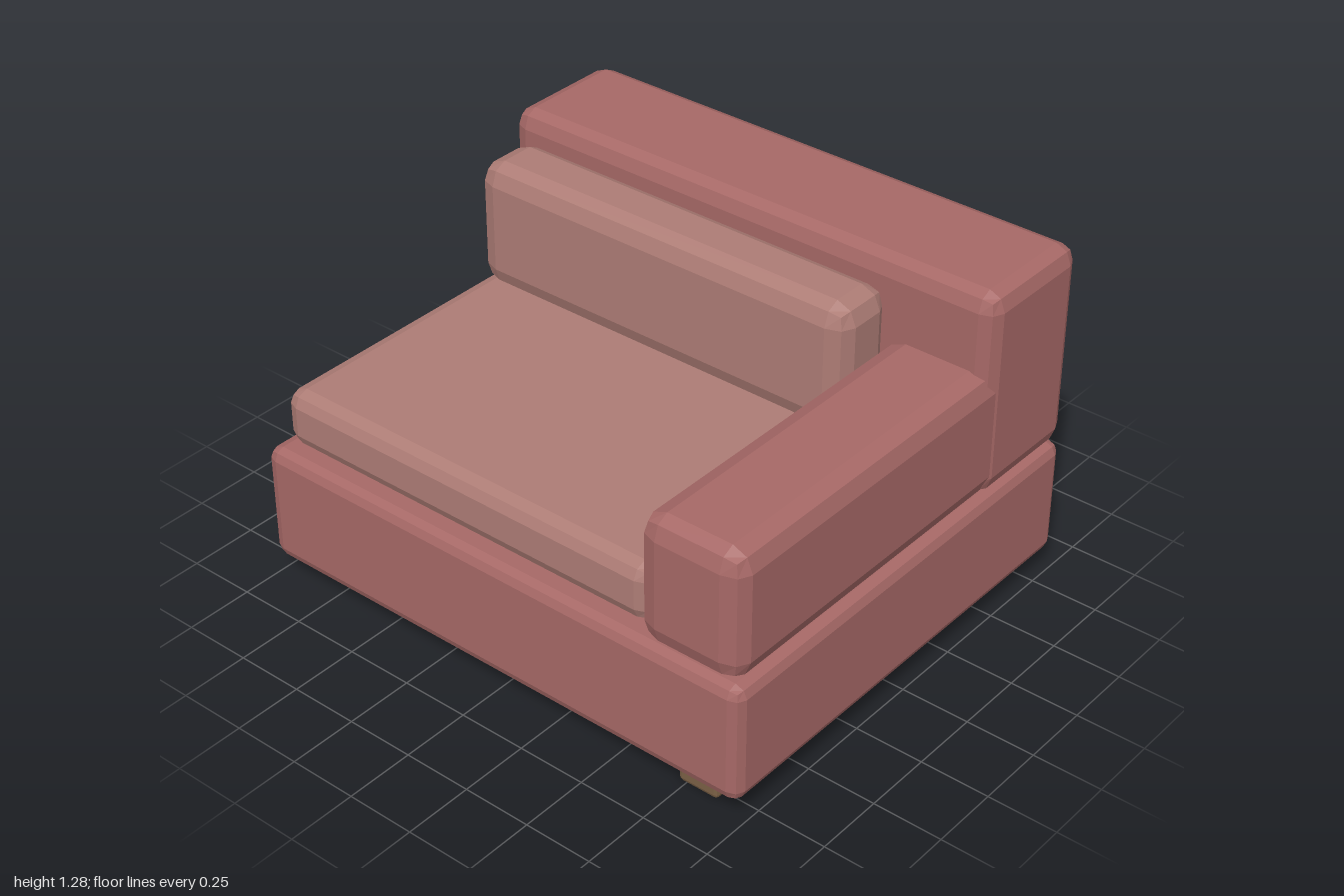
import * as THREE from 'three';

// Box with a two-step bevel: [min, max] per axis, r = bevel size per axis
function bevelledBox(name, x, y, z, r, material) {
  const min = [x[0], y[0], z[0]], max = [x[1], y[1], z[1]];
  const geo = new THREE.BoxGeometry(2, 2, 2, 3, 3, 3);
  const pos = geo.attributes.position;
  const dir = new THREE.Vector3();
  for (let i = 0; i < pos.count; i++) {
    const p = [pos.getX(i), pos.getY(i), pos.getZ(i)];
    // outer grid lines round over the edge, inner ones border the flat face
    dir.set(...p.map(v => (Math.abs(v) > 0.9 ? Math.sign(v) : 0))).normalize();
    const d = dir.toArray();
    pos.setXYZ(i, ...p.map((v, a) => (v > 0 ? max[a] - r[a] : min[a] + r[a]) + d[a] * r[a]));
  }
  geo.computeVertexNormals();
  const mesh = new THREE.Mesh(geo, material);
  mesh.name = name;
  return mesh;
}

export function createModel() {
  const group = new THREE.Group();
  group.name = 'cornerSofaSection';
  const mat = color => new THREE.MeshStandardMaterial({ color, flatShading: true });
  const fabric = mat(0xa66866);
  const cushion = mat(0xad7c75);
  const wood = mat(0x7a6045);

  // Upholstered frame
  group.add(
    bevelledBox('base', [-1, 1], [0.085, 0.52], [-0.86, 0.86], [0.045, 0.04, 0.04], fabric),
    bevelledBox('backrest', [-1, 1], [0.53, 1.28], [-0.86, -0.38], [0.06, 0.065, 0.055], fabric),
    bevelledBox('armrest', [0.603, 0.996], [0.53, 1.0], [-0.6, 0.86], [0.075, 0.075, 0.06], fabric)
  );

  // Loose cushions
  group.add(
    bevelledBox('seatCushion', [-0.96, 0.598], [0.522, 0.73], [-0.41, 0.795], [0.055, 0.05, 0.055], cushion),
    bevelledBox('backCushion', [-0.963, 0.597], [0.705, 1.18], [-0.41, -0.153], [0.075, 0.075, 0.065], cushion)
  );

  // Feet on the armrest side only
  for (const [name, z] of [['frontFoot', 0.72], ['backFoot', -0.72]]) {
    group.add(bevelledBox(name, [0.72, 0.875], [0, 0.12], [z - 0.078, z + 0.078], [0.015, 0.015, 0.015], wood));
  }
  return group;
}
